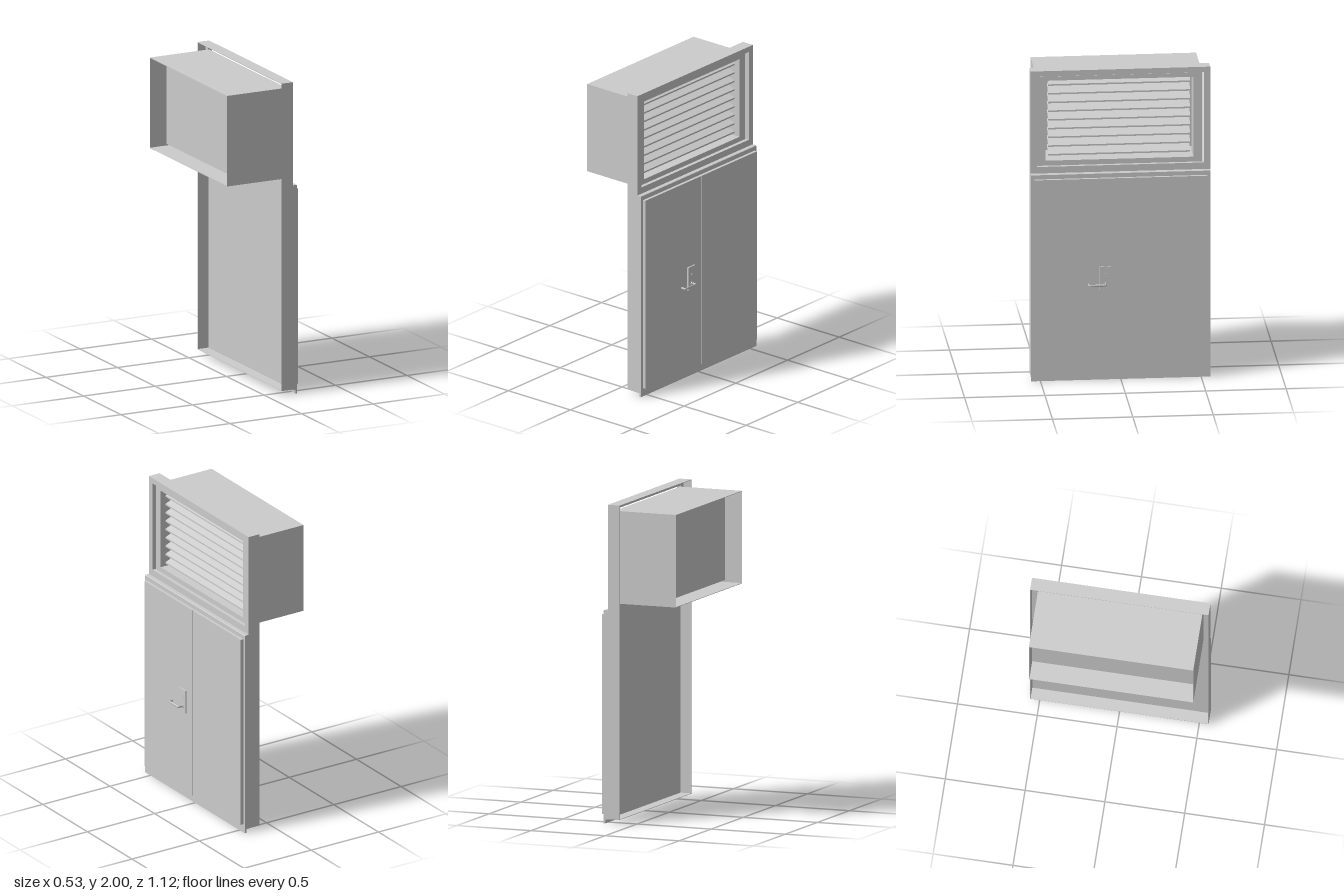
import * as THREE from 'three';

const grey = new THREE.MeshStandardMaterial({ color: 0xcccccc, side: THREE.DoubleSide });

// Rectangle path centred on z, spanning y0..y1
function rect(Type, half, y0, y1) {
  const p = new Type();
  p.moveTo(-half, y0);
  p.lineTo(half, y0);
  p.lineTo(half, y1);
  p.lineTo(-half, y1);
  p.closePath();
  return p;
}

function add(parent, name, geometry) {
  const mesh = new THREE.Mesh(geometry, grey);
  mesh.name = name;
  parent.add(mesh);
  return mesh;
}

function group(parent, name, z = 0) {
  const g = new THREE.Group();
  g.name = name;
  g.position.z = z;
  parent.add(g);
  return g;
}

function box(parent, name, x0, x1, y0, y1, z0, z1) {
  const mesh = add(parent, name, new THREE.BoxGeometry(x1 - x0, y1 - y0, z1 - z0));
  mesh.position.set((x0 + x1) / 2, (y0 + y1) / 2, (z0 + z1) / 2);
}

// Rectangular ring in the z-y plane, extruded from x0 to x1
function ring(parent, name, x0, x1, outer, inner) {
  const shape = rect(THREE.Shape, ...outer);
  shape.holes.push(rect(THREE.Path, ...inner));
  const geo = new THREE.ExtrudeGeometry(shape, { depth: x1 - x0, bevelEnabled: false });
  geo.rotateY(Math.PI / 2);
  geo.translate(x0, 0, 0);
  add(parent, name, geo);
}

// Profile of [x, y] points extruded along z, centred
function profile(parent, name, points, length) {
  const shape = new THREE.Shape(points.map(([x, y]) => new THREE.Vector2(x, y)));
  const geo = new THREE.ExtrudeGeometry(shape, { depth: length, bevelEnabled: false });
  geo.translate(0, 0, -length / 2);
  add(parent, name, geo);
}

export function createModel() {
  const model = new THREE.Group();
  model.name = 'louvredDoorUnit';

  // Outer casing, open at the back
  ring(model, 'casing', 0.092, 0.172, [0.559, 0.028, 2], [0.556, 0.031, 1.997]);
  ring(model, 'upperFrame', 0.145, 0.172, [0.557, 1.33, 1.998], [0.52, 1.38, 1.965]);

  // Door surround with a drip lip at the foot
  profile(model, 'doorSurround', [
    [0.165, 0.028], [0.188, 0.024], [0.19, 0], [0.2, 0], [0.2, 1.335], [0.197, 1.338], [0.165, 1.338],
  ], 1.118);

  // Pair of doors
  box(model, 'leftDoor', 0.198, 0.219, 0.055, 1.308, -0.001, 0.538);
  box(model, 'rightDoor', 0.198, 0.219, 0.055, 1.308, -0.541, -0.004);

  // Duct behind the louvre, with a recessed inner panel above a narrow gap
  const duct = group(model, 'ductAssembly', 0.003);
  ring(duct, 'duct', -0.267, 0.135, [0.515, 1.376, 1.957], [0.512, 1.379, 1.954]);
  box(duct, 'ductPanel', -0.152, -0.147, 1.39, 1.955, -0.513, 0.513);

  // Louvre: recessed frame, deep lining and free-ended sloping blades
  const louvre = group(model, 'louvre', 0.003);
  ring(louvre, 'louvreFrame', 0.13, 0.148, [0.515, 1.376, 1.957], [0.46, 1.412, 1.93]);
  ring(louvre, 'louvreLining', 0.02, 0.148, [0.463, 1.409, 1.933], [0.46, 1.412, 1.93]);
  for (let i = 0; i < 9; i++) {
    const y = 1.437 + i * 0.0565;
    const top = Math.min(y + 0.048, 1.925);
    const back = 0.12 - (top - y - 0.008) * 2.2;
    profile(louvre, 'blade', [
      [0.12, y], [0.123, y], [0.123, y + 0.01], [back + 0.002, top], [back, top - 0.003], [0.12, y + 0.007],
    ], 0.884);
  }

  // Handle: plate, lock cylinder, rose and bent lever
  const handle = group(model, 'handle');
  box(handle, 'handlePlate', 0.218, 0.228, 0.587, 0.739, 0.064, 0.133);
  const disc = (name, r, depth, y) => {
    const mesh = add(handle, name, new THREE.CylinderGeometry(r, r, depth, 20));
    mesh.rotation.z = Math.PI / 2;
    mesh.position.set(0.227 + depth / 2, y, 0.098);
  };
  disc('lockCylinder', 0.009, 0.004, 0.685);
  disc('leverRose', 0.012, 0.008, 0.627);

  // Lever of oval section, bent twice
  const v = (x, z) => new THREE.Vector3(x, 0, z);
  const path = new THREE.CurvePath();
  path.add(new THREE.LineCurve3(v(0.226, 0.098), v(0.252, 0.098)));
  path.add(new THREE.QuadraticBezierCurve3(v(0.252, 0.098), v(0.261, 0.098), v(0.261, 0.107)));
  path.add(new THREE.LineCurve3(v(0.261, 0.107), v(0.261, 0.193)));
  path.add(new THREE.QuadraticBezierCurve3(v(0.261, 0.193), v(0.261, 0.202), v(0.252, 0.202)));
  path.add(new THREE.LineCurve3(v(0.252, 0.202), v(0.232, 0.202)));
  const lever = add(handle, 'lever', new THREE.TubeGeometry(path, 64, 0.004, 12));
  const cap = add(handle, 'leverEnd', new THREE.CircleGeometry(0.004, 12));
  cap.rotation.y = -Math.PI / 2;
  cap.position.set(0.232, 0.627, 0.202);
  lever.position.y = 0.627;
  lever.scale.y = cap.scale.y = 1.8;

  return model;
}
